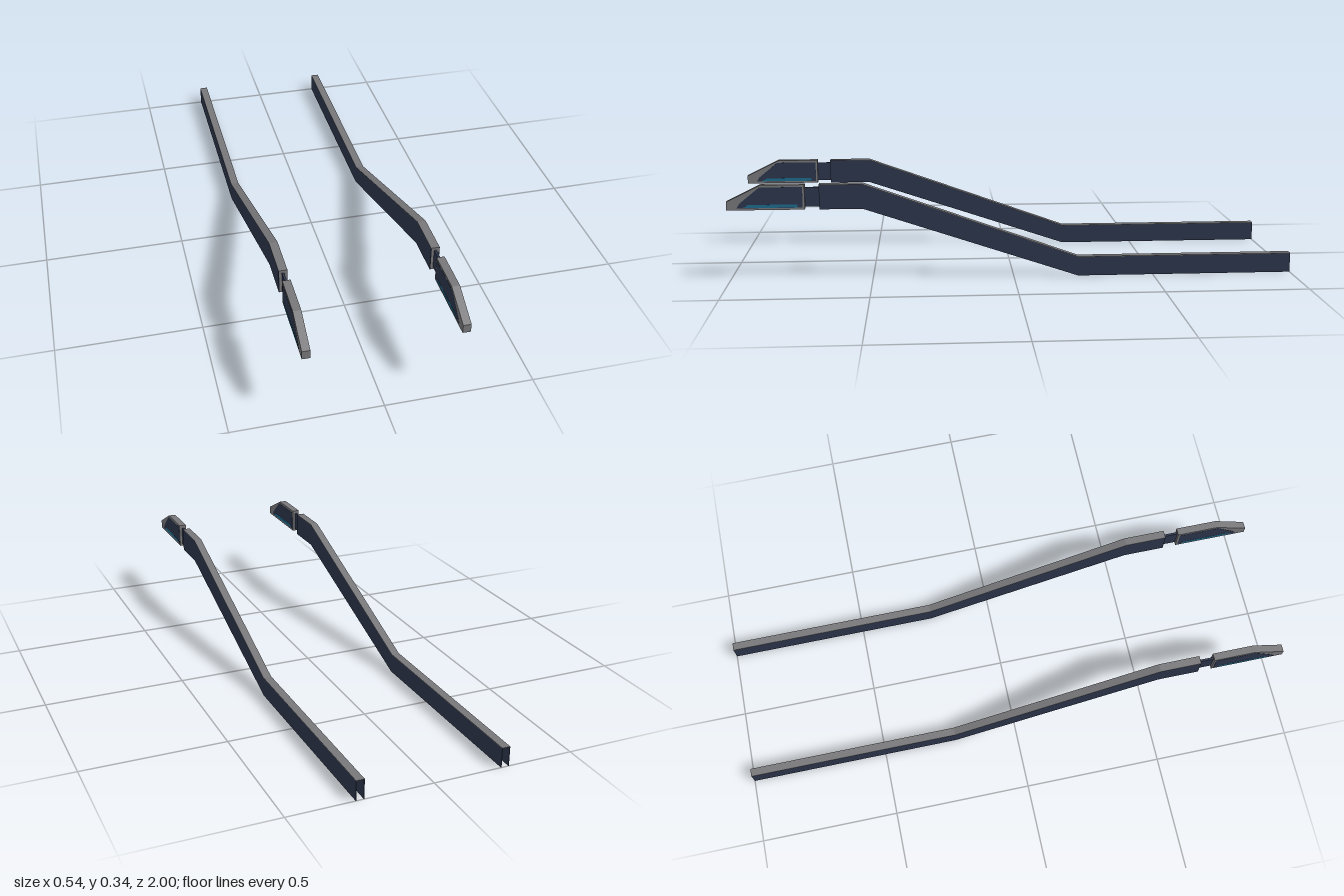
import * as THREE from 'three';

const grey = new THREE.MeshStandardMaterial({ color: 0x77777a });
grey.name = 'grey metal';
const navy = new THREE.MeshStandardMaterial({ color: 0x2c354b });
navy.name = 'dark navy';
const teal = new THREE.MeshStandardMaterial({ color: 0x1d6a8c });
teal.name = 'teal';

// Side profile given as [z, y] points, extruded from x0 to x1
function profile(name, points, x0, x1, material) {
  const shape = new THREE.Shape(points.map(([z, y]) => new THREE.Vector2(z, y)));
  const geometry = new THREE.ExtrudeGeometry(shape, { depth: x1 - x0, bevelEnabled: false });
  geometry.rotateY(-Math.PI / 2).translate(x1, 0, 0);
  const mesh = new THREE.Mesh(geometry, material);
  mesh.name = name;
  return mesh;
}

const HALF = 0.0145; // half the width of the channel
const WALL = 0.002;
const topLine = [[0.68, 0.343], [0.53, 0.343], [-0.23, 0.07], [-1, 0.07]];
const bottomLine = [[-1, 0], [-0.23, 0], [0.53, 0.255], [0.68, 0.255]];

function createRail() {
  const rail = new THREE.Group();
  const webBottom = topLine.map(([z, y]) => [z, y - 0.002]);

  // Channel, open underneath and at the back
  rail.add(profile('channelTop', [...topLine, ...[...webBottom].reverse()], -HALF, HALF, grey));
  const wall = [...webBottom, ...bottomLine];
  rail.add(profile('channelWallRight', wall, -HALF, -HALF + WALL, navy));
  rail.add(profile('channelWallLeft', wall, HALF - WALL, HALF, navy));
  rail.add(profile('channelFrontCap',
    [[0.677, 0.255], [0.679, 0.255], [0.679, 0.341], [0.677, 0.341]], -HALF + WALL, HALF - WALL, grey));

  // Thin neck between channel and tip
  rail.add(profile('neck', [[0.67, 0.263], [0.74, 0.263], [0.74, 0.332], [0.67, 0.332]], -0.004, 0.004, navy));

  // Wedge-shaped tip
  const tipHalf = 0.0135;
  rail.add(profile('tip',
    [[0.73, 0.255], [1, 0.255], [1, 0.285], [0.88, 0.343], [0.73, 0.343]], -tipHalf, tipHalf, grey));

  // Side panels and accent strips on the tip
  const panel = [[0.737, 0.262], [0.965, 0.262], [0.955, 0.278], [0.885, 0.335], [0.737, 0.335]];
  const strip = [[0.755, 0.263], [0.945, 0.263], [0.925, 0.274], [0.755, 0.274]];
  for (const [side, s] of [['Left', 1], ['Right', -1]]) {
    const place = (name, points, inner, outer, material) => rail.add(profile(
      name + side, points, Math.min(s * inner, s * outer), Math.max(s * inner, s * outer), material));
    place('tipPanel', panel, tipHalf - 0.001, tipHalf + 0.0006, navy);
    place('tipStrip', strip, tipHalf - 0.001, tipHalf + 0.0012, teal);
  }
  return rail;
}

export function createModel() {
  const model = new THREE.Group();
  model.name = 'railPair';
  for (const [name, x] of [['leftRail', 0.254], ['rightRail', -0.254]]) {
    const rail = createRail();
    rail.name = name;
    rail.position.x = x;
    model.add(rail);
  }
  return model;
}
